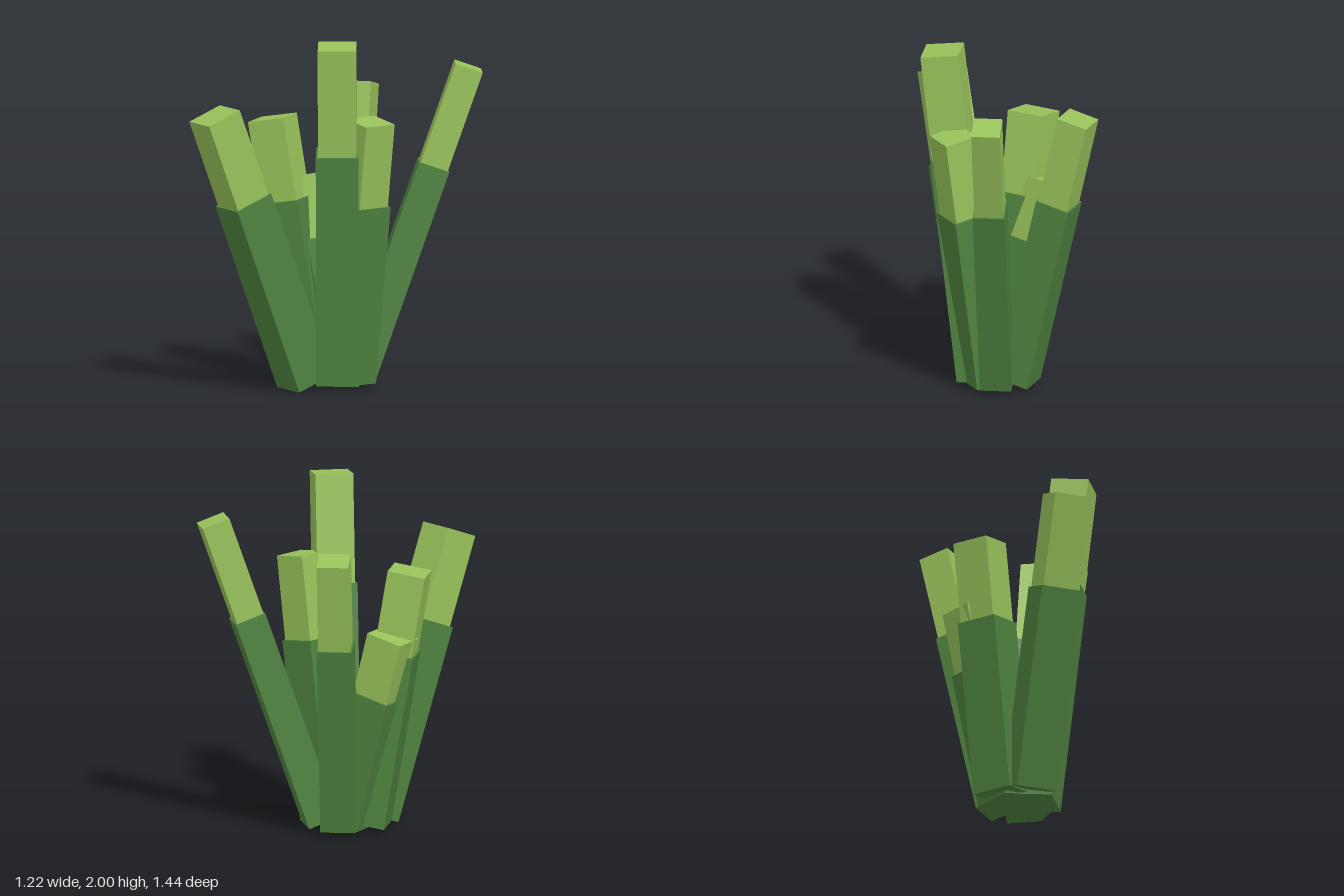
import * as THREE from 'three';

const stalkMat = new THREE.MeshStandardMaterial({ color: 0x4f833f });
stalkMat.name = 'dark green';
const tipMat = new THREE.MeshStandardMaterial({ color: 0x97c25a });
tipMat.name = 'light green';

// Each blade: centre of its foot, centre of its end, width of the lower box
const BLADES = [
  ['frontBlade', [-0.183, 0.043, 0.038], [-0.432, 1.605, 0.584], 0.24],
  ['longBackBlade', [0.003, 0.05, -0.225], [0.501, 1.818, -0.596], 0.18],
  ['backBlade', [-0.131, 0.04, -0.262], [-0.251, 1.66, -0.611], 0.2],
  ['leftBlade', [0.0, 0.04, -0.132], [0.192, 1.543, -0.063], 0.22],
  ['tallBlade', [-0.033, 0.04, -0.07], [0.087, 1.987, 0.116], 0.24],
  ['rightBlade', [-0.241, 0.045, -0.125], [-0.479, 1.508, -0.069], 0.24],
  ['shortBlade', [-0.152, 0.05, -0.174], [-0.433, 1.153, -0.199], 0.24],
];
const JOINT = 0.682; // share of the length taken by the dark stalk

// A square box from height y0 to y1 along the blade
function segment(name, width, y0, y1, material) {
  const geo = new THREE.BoxGeometry(width, y1 - y0, width);
  geo.translate(0, (y0 + y1) / 2, 0);
  const mesh = new THREE.Mesh(geo, material);
  mesh.name = name;
  return mesh;
}

function blade(name, foot, end, width) {
  const group = new THREE.Group();
  group.name = name;
  const base = new THREE.Vector3(...foot);
  const axis = new THREE.Vector3(...end).sub(base);
  const length = axis.length();
  axis.normalize();

  // One side of the box stays level, the other faces the way the blade leans
  const side = new THREE.Vector3(axis.z, 0, -axis.x).normalize();
  const out = new THREE.Vector3().crossVectors(side, axis);
  group.quaternion.setFromRotationMatrix(new THREE.Matrix4().makeBasis(side, axis, out));
  group.position.copy(base);

  group.add(segment('stalk', width, 0, length * JOINT, stalkMat));
  group.add(segment('tip', width * 0.9, length * JOINT - 0.02, length, tipMat));
  return group;
}

export function createModel() {
  const model = new THREE.Group();
  model.name = 'grassTuft';
  for (const b of BLADES) model.add(blade(...b));
  return model;
}
